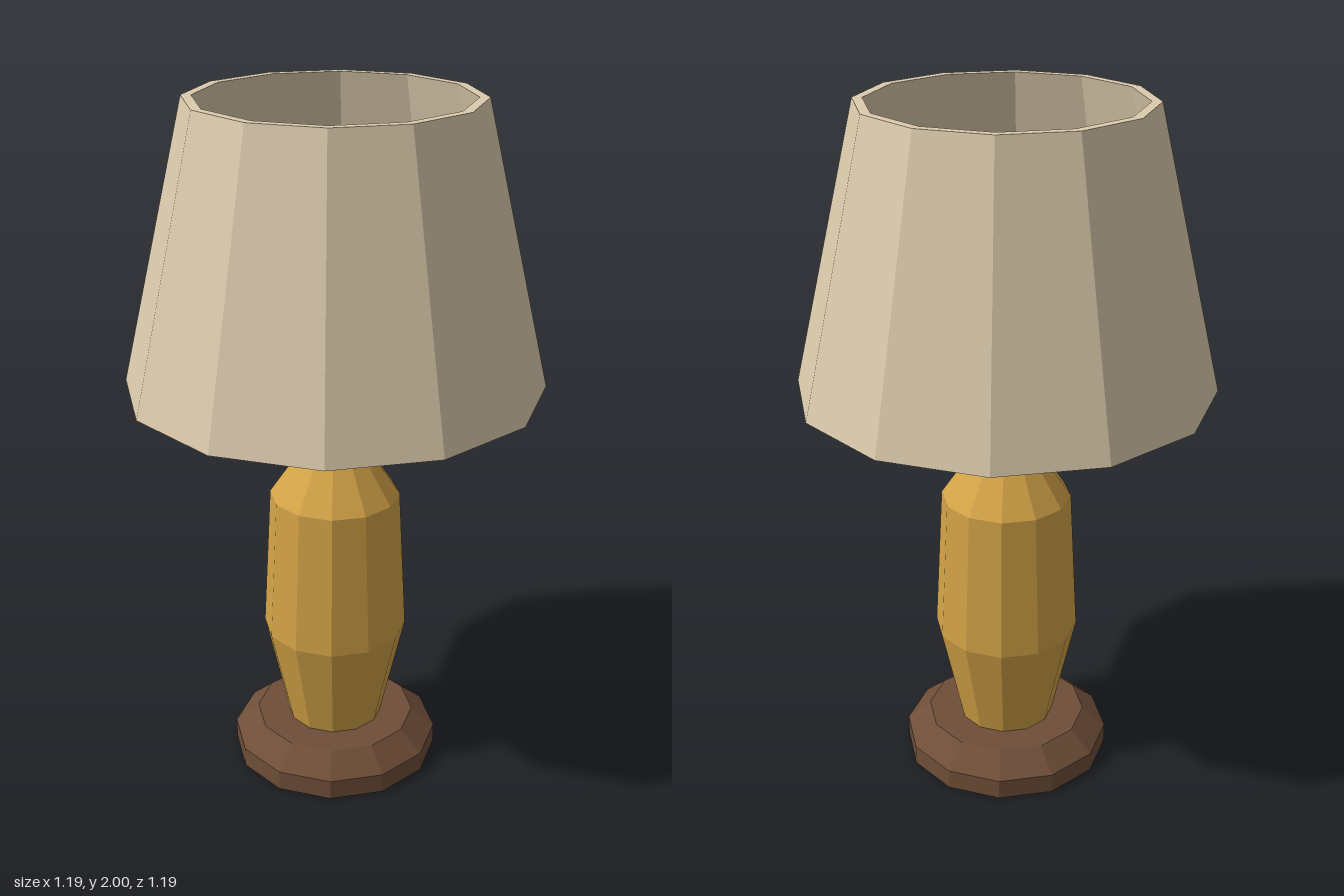
import * as THREE from 'three';

const material = (name, color) => {
  const m = new THREE.MeshStandardMaterial({ color, flatShading: true });
  m.name = name;
  return m;
};

// Faceted turned part; the profile runs up the outside as [radius, height]
function turned(name, profile, sides, mat) {
  const points = profile.map(([r, y]) => new THREE.Vector2(r, y));
  const mesh = new THREE.Mesh(new THREE.LatheGeometry(points, sides), mat);
  mesh.name = name;
  return mesh;
}

export function createModel() {
  const wood = material('dark wood', 0x6f4e38);
  const brass = material('ochre glaze', 0xd3a347);
  const metal = material('grey metal', 0x8b8f94);
  const linen = material('cream linen', 0xdccbad);

  const lamp = new THREE.Group();
  lamp.name = 'tableLamp';
  lamp.add(
    // Chamfered foot
    turned('base', [[0, 0], [0.308, 0], [0.308, 0.06], [0.238, 0.12], [0, 0.12]], 12, wood),
    // Vase-shaped body
    turned('body', [[0, 0.12], [0.142, 0.12], [0.212, 0.43], [0.189, 0.86], [0.076, 1.025], [0, 1.025]], 12, brass),
    // Rod that reaches up into the shade
    turned('stem', [[0, 1.0], [0.042, 1.0], [0.042, 1.31], [0, 1.31]], 8, metal),
    // Open shade with wall thickness: outside, top rim, inside, bottom rim
    turned('shade', [[0.593, 1.2], [0.404, 2], [0.376, 2], [0.565, 1.2], [0.593, 1.2]], 12, linen),
  );
  return lamp;
}
